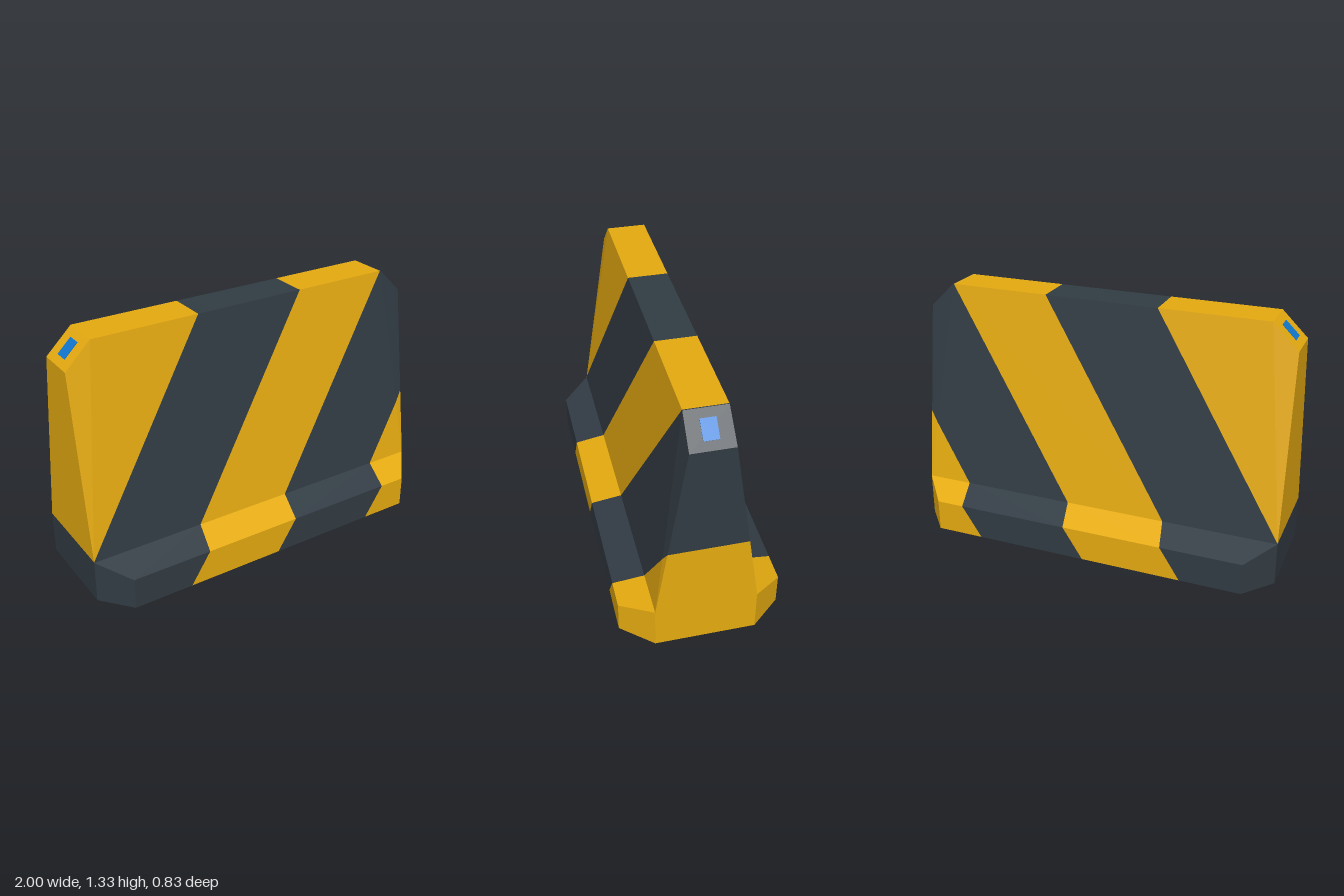
import * as THREE from 'three';

const SLANT = 0.645; // sideways lean of the stripes per unit of height
const STRIPE_EDGES = [-9, -1.15, -0.54, 0, 0.605, 9];
const INSIDE = new THREE.Vector3(0, 0.1, 0);

// Corner points of the barrier for one side (sx, sz = +1 or -1)
const toe = (sx, sz) => new THREE.Vector3(0.865 * sx, 0, 0.415 * sz);
const toeTop = (sx, sz) => new THREE.Vector3(0.865 * sx, 0.17, 0.415 * sz);
const heel = (sx, sz) => new THREE.Vector3(sx, 0, 0.257 * sz);
const ledge = (sx, sz) => new THREE.Vector3(sx, 0.23, 0.257 * sz);
const shoulder = (sx, sz) => new THREE.Vector3(sx, 1.2, 0.107 * sz);
const crest = (sx, sz) => new THREE.Vector3(0.865 * sx, 1.333, 0.105 * sz);

function barrierFaces() {
  const faces = [
    [crest(-1, 1), crest(1, 1), crest(1, -1), crest(-1, -1)],
    [heel(-1, 1), toe(-1, 1), toe(1, 1), heel(1, 1), heel(1, -1), toe(1, -1), toe(-1, -1), heel(-1, -1)],
  ];
  for (const s of [-1, 1]) {
    // long sides: kerb, sloping ledge, wall
    faces.push([toe(-1, s), toe(1, s), toeTop(1, s), toeTop(-1, s)]);
    faces.push([toeTop(-1, s), toeTop(1, s), ledge(1, s), ledge(-1, s)]);
    faces.push([ledge(-1, s), ledge(1, s), crest(1, s), crest(-1, s)]);
    // ends: upright face and top chamfer
    faces.push([heel(s, 1), heel(s, -1), ledge(s, -1), shoulder(s, -1), shoulder(s, 1), ledge(s, 1)]);
    faces.push([shoulder(s, 1), shoulder(s, -1), crest(s, -1), crest(s, 1)]);
    // corners: cut kerb and the narrow wall edge
    for (const t of [-1, 1]) {
      faces.push([heel(s, t), toe(s, t), toeTop(s, t), ledge(s, t)]);
      faces.push([ledge(s, t), shoulder(s, t), crest(s, t)]);
    }
  }
  return faces;
}

// Keeps the part of a polygon on one side of a slanted stripe edge
function clip(poly, edge, sign) {
  const dist = (p) => sign * (p.x - SLANT * p.y - edge);
  const out = [];
  poly.forEach((a, i) => {
    const b = poly[(i + 1) % poly.length];
    const da = dist(a), db = dist(b);
    if (da >= 0) out.push(a);
    if (da * db < 0) out.push(a.clone().lerp(b, da / (da - db)));
  });
  return out;
}

// Flat-faced surface of convex polygons, all turned outwards
function surface(polys) {
  const points = [];
  for (const poly of polys) {
    for (let i = 1; i < poly.length - 1; i++) {
      const [a, b, c] = [poly[0], poly[i], poly[i + 1]];
      const normal = b.clone().sub(a).cross(c.clone().sub(a));
      if (normal.lengthSq() < 1e-12) continue;
      const outward = normal.dot(a.clone().sub(INSIDE)) > 0;
      points.push(...(outward ? [a, b, c] : [a, c, b]));
    }
  }
  const geometry = new THREE.BufferGeometry().setFromPoints(points);
  geometry.computeVertexNormals();
  return geometry;
}

export function createModel() {
  const model = new THREE.Group();
  model.name = 'roadBarrier';
  const material = (name, color) => {
    const m = new THREE.MeshStandardMaterial({ color });
    m.name = name;
    return m;
  };
  const yellow = material('warningYellow', 0xe6ab10);
  const dark = material('darkGrey', 0x323c44);
  const blue = material('markerBlue', 0x1078d0);

  // Body, cut into diagonal stripes
  const faces = barrierFaces();
  for (let i = 0; i < STRIPE_EDGES.length - 1; i++) {
    const polys = faces
      .map((f) => clip(clip(f, STRIPE_EDGES[i], 1), STRIPE_EDGES[i + 1], -1))
      .filter((p) => p.length > 2);
    const stripe = new THREE.Mesh(surface(polys), i % 2 ? dark : yellow);
    stripe.name = `bodyStripe${i + 1}`;
    model.add(stripe);
  }

  // Small marker plates on the end chamfers
  for (const s of [-1, 1]) {
    const marker = new THREE.Mesh(new THREE.BoxGeometry(0.1, 0.006, 0.075), blue);
    marker.name = s > 0 ? 'leftMarker' : 'rightMarker';
    marker.position.set(0.9325 * s, 1.2665, 0);
    marker.rotation.z = -s * Math.atan2(0.133, 0.135);
    model.add(marker);
  }
  return model;
}
